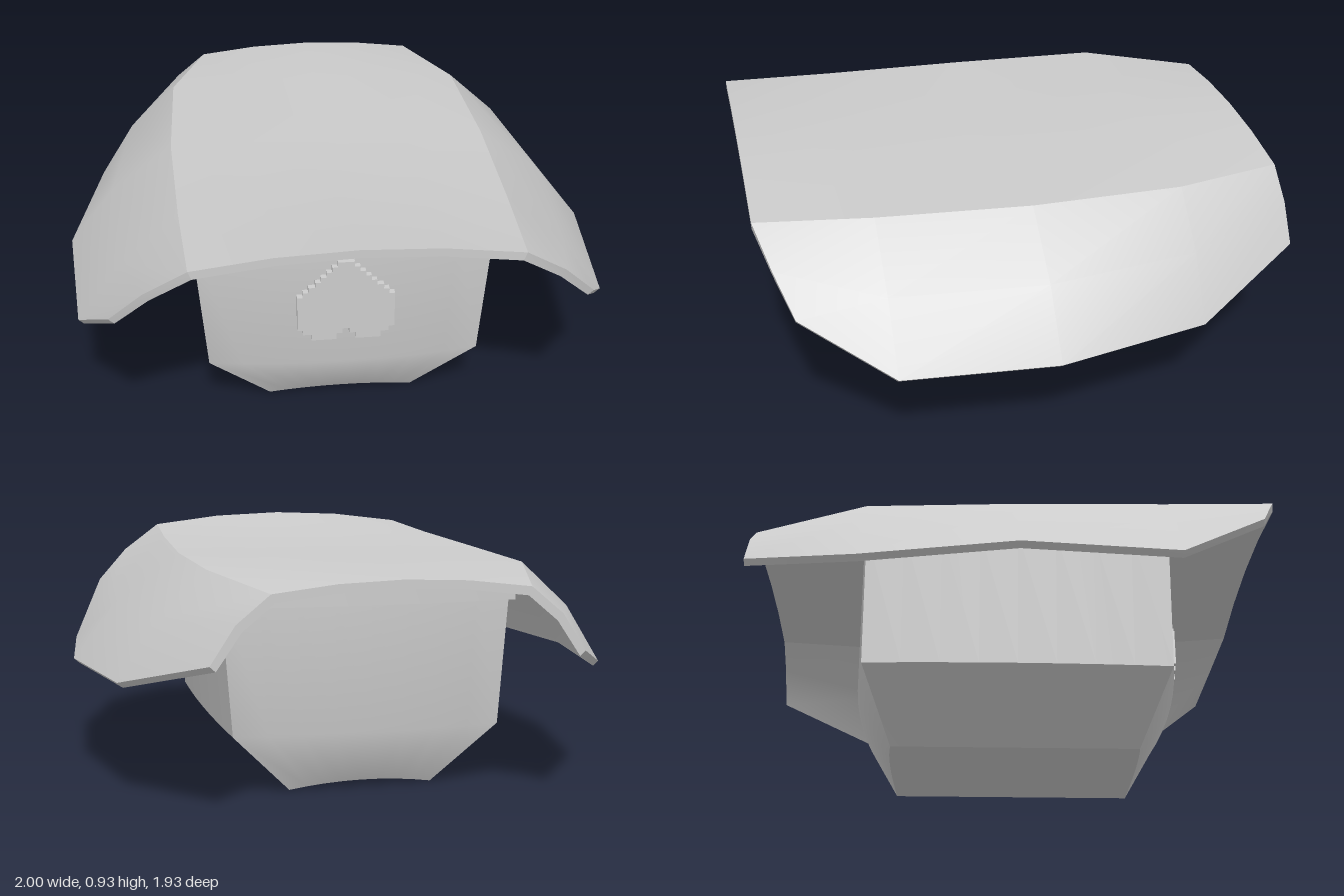
import * as THREE from 'three';
import { mergeGeometries } from 'three/addons/utils/BufferGeometryUtils.js';

const material = new THREE.MeshStandardMaterial({ color: 0xcccccc });

// Smooth patch through rows of points; it faces rowDirection x columnDirection.
function patch(rows) {
  const n = rows[0].length, index = [];
  for (let i = 0; i < rows.length - 1; i++) {
    for (let j = 0; j < n - 1; j++) {
      const a = i * n + j, b = a + n;
      index.push(a, b, b + 1, a, b + 1, a + 1);
    }
  }
  const g = new THREE.BufferGeometry();
  g.setAttribute('position', new THREE.Float32BufferAttribute(rows.flat(2), 3));
  g.setIndex(index);
  g.computeVertexNormals();
  return g;
}

function part(name, geometries) {
  const mesh = new THREE.Mesh(mergeGeometries(geometries), material);
  mesh.name = name;
  return mesh;
}

// Roof cross-sections, back to front: ridge height, then crease, middle and edge of the side flap.
const sections = [
  { ridge: 0.82, flap: [[0.445, 0.785, -0.97], [0.56, 0.69, -0.97], [0.645, 0.56, -0.97]] },
  { ridge: 0.845, flap: [[0.58, 0.825, -0.55], [0.76, 0.66, -0.55], [0.895, 0.445, -0.55]] },
  { ridge: 0.84, flap: [[0.595, 0.835, 0], [0.83, 0.66, 0], [1, 0.445, 0]] },
  { ridge: 0.87, flap: [[0.575, 0.855, 0.55], [0.79, 0.67, 0.55], [0.95, 0.445, 0.55]] },
  { ridge: 0.925, flap: [[0.55, 0.88, 0.96], [0.7, 0.775, 0.915], [0.82, 0.65, 0.86]] },
];

function roofRow({ ridge, flap }, inner) {
  const drop = [[0.012, 0.03], [0.02, 0.024], [0.02, 0.018]];
  const side = flap.map(([x, y, z], i) =>
    inner ? [x - drop[i][0], y - drop[i][1], z] : [x, y, z]);
  const [cx, cy, cz] = side[0];
  const top = ridge - (inner ? 0.03 : 0);
  const middle = [-0.5, 0, 0.5].map(t => [t * cx, top - (top - cy) * t * t, cz]);
  const left = side.map(([x, y, z]) => [-x, y, z]).reverse();
  return [...left, ...middle, ...side];
}

function roof() {
  const outer = sections.map(s => roofRow(s, false));
  const inner = sections.map(s => roofRow(s, true));
  const geometries = [];
  // Left flap, top and right flap are separate so the creases stay sharp
  for (const [from, to] of [[0, 3], [2, 7], [6, 9]]) {
    const cut = rows => rows.map(r => r.slice(from, to));
    geometries.push(patch(cut(outer)), patch(cut(inner).reverse()));
    // Front and back rims
    geometries.push(patch(cut([outer[4], inner[4]])), patch(cut([inner[0], outer[0]])));
  }
  // Side rims
  const column = (rows, j) => rows.map(r => r[j]);
  geometries.push(patch([column(inner, 8), column(outer, 8)]));
  geometries.push(patch([column(outer, 0), column(inner, 0)]));
  return part('roof', geometries);
}

// Tub with bowed walls; levels run from bottom to top.
function tub(name, levels) {
  const steps = Array.from({ length: 9 }, (_, i) => i / 4 - 1);
  const bow = t => 1 - t * t;
  const end = (l, sign) => steps.map(t => [
    t * l.hx,
    (sign > 0 ? l.y : l.yBack ?? l.y) + (l.arch ?? 0) * bow(t),
    sign > 0 ? l.front + l.bowZ * bow(t) : l.back - l.bowZ * bow(t),
  ]);
  const wall = (l, sign) => steps.map(t => {
    const k = (t + 1) / 2, yb = l.yBack ?? l.y;
    return [sign * (l.hx + l.bowX * bow(t)), yb + (l.y - yb) * k, l.back + (l.front - l.back) * k];
  });
  const front = levels.map(l => end(l, 1)), back = levels.map(l => end(l, -1));
  const last = levels.length - 1;
  const geometries = [
    patch([...front].reverse()), patch(back),
    patch([front[0], back[0]]), patch([back[last], front[last]]),
  ];
  // Side walls keep a sharp fold between levels
  for (let i = 0; i < last; i++) {
    geometries.push(patch([wall(levels[i], 1), wall(levels[i + 1], 1)]));
    geometries.push(patch([wall(levels[i + 1], -1), wall(levels[i], -1)]));
  }
  return part(name, geometries);
}

// Stepped upside-down heart plate on the front wall
function heart() {
  const corners = [
    [0.03, 0.67], [0.05, 0.65], [0.07, 0.63], [0.09, 0.61], [0.11, 0.59],
    [0.135, 0.57], [0.155, 0.55], [0.175, 0.53],
  ];
  const half = [];
  corners.forEach(([x, y], i) => {
    half.push([x, y], [x, corners[i + 1]?.[1] ?? 0.39]);
  });
  half.push([0.155, 0.39], [0.155, 0.37], [0.125, 0.37], [0.125, 0.345],
    [0.035, 0.345], [0.035, 0.37], [0.012, 0.37], [0.012, 0.39]);
  const mirrored = half.map(([x, y]) => [-x, y]).reverse();
  const shape = new THREE.Shape([...half, ...mirrored].map(p => new THREE.Vector2(...p)));
  const g = new THREE.ExtrudeGeometry(shape, { depth: 0.045, bevelEnabled: false });
  g.translate(0, 0, 0.58);
  return part('heartPlate', [g]);
}

export function createModel() {
  const group = new THREE.Group();
  group.name = 'model';
  group.add(
    roof(),
    tub('body', [
      { y: 0, hx: 0.27, front: 0.46, back: -0.45, bowX: 0, bowZ: 0.015, arch: 0.025 },
      { y: 0.23, hx: 0.495, front: 0.565, back: -0.55, bowX: 0.013, bowZ: 0.04 },
      { y: 0.74, hx: 0.535, front: 0.565, back: -0.55, bowX: 0.012, bowZ: 0.04 },
    ]),
    tub('collar', [
      { y: 0.69, hx: 0.55, front: 0.585, back: -0.57, bowX: 0.01, bowZ: 0.04 },
      { y: 0.835, yBack: 0.805, hx: 0.555, front: 0.585, back: -0.57, bowX: 0.005, bowZ: 0.04, arch: 0.01 },
    ]),
    heart(),
  );
  return group;
}
